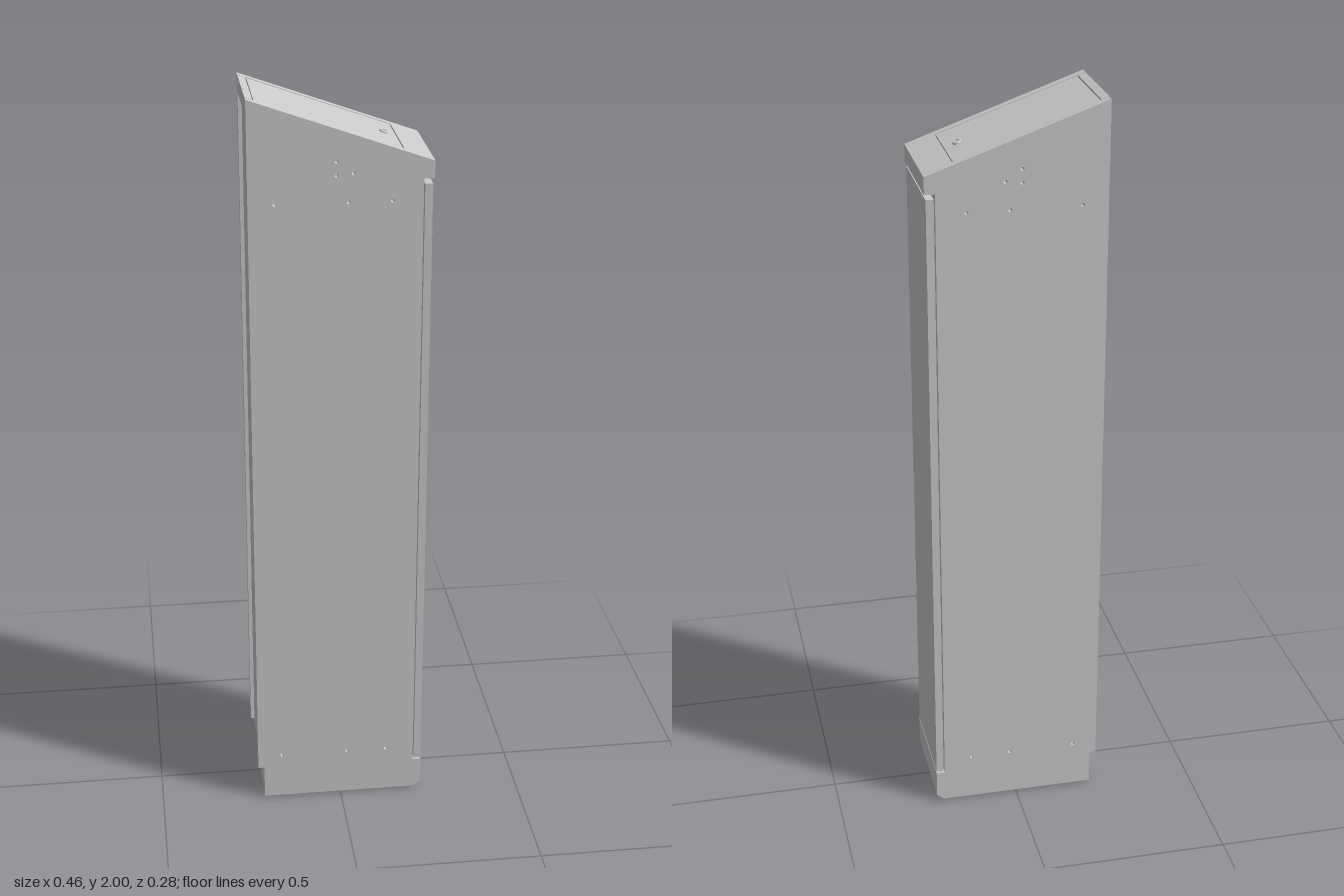
import * as THREE from 'three';

const material = new THREE.MeshStandardMaterial({ color: 0xcccccc, flatShading: true });
const smooth = new THREE.MeshStandardMaterial({ color: 0xcccccc });

// Height of the sloping top at x
const slope = (x) => 2 - ((x + 0.232) / 0.464) * 0.165;

function add(parent, name, geometry, x = 0, y = 0, z = 0, mat = material) {
  const mesh = new THREE.Mesh(geometry, mat);
  mesh.name = name;
  mesh.position.set(x, y, z);
  parent.add(mesh);
  return mesh;
}

// Box given by its limits
function block(parent, name, x0, x1, y0, y1, z0, z1) {
  return add(parent, name, new THREE.BoxGeometry(x1 - x0, y1 - y0, z1 - z0),
    (x0 + x1) / 2, (y0 + y1) / 2, (z0 + z1) / 2);
}

// Side profile in x, y extruded from z0 to z1, with round holes
function prism(parent, name, points, z0, z1, holes = []) {
  const shape = new THREE.Shape(points.map(([x, y]) => new THREE.Vector2(x, y)));
  for (const [x, y] of holes) {
    shape.holes.push(new THREE.Path().absarc(x, y, 0.005, 0, Math.PI * 2, true));
  }
  const geometry = new THREE.ExtrudeGeometry(shape, { depth: z1 - z0, bevelEnabled: false, curveSegments: 8 });
  return add(parent, name, geometry, 0, 0, z0);
}

// Strip that follows the slope between x0 and x1
const slopedStrip = (x0, x1, drop, thick) => [
  [x0, slope(x0) - drop - thick], [x1, slope(x1) - drop - thick],
  [x1, slope(x1) - drop], [x0, slope(x0) - drop],
];

export function createModel() {
  const model = new THREE.Group();
  model.name = 'cabinet';

  // Broad side walls with mounting holes
  const wall = [
    [-0.215, 0.005], [0.208, 0.005], [0.228, 0.02], [0.228, 0.095], [0.205, 0.095],
    [0.205, 1.79], [0.232, 1.79], [0.232, 1.835], [-0.232, 2], [-0.232, 0.1], [-0.215, 0.1],
  ];
  const holes = [[-0.012, 1.84], [-0.012, 1.805], [0.03, 1.81]];
  for (const x of [-0.165, 0.018, 0.128]) holes.push([x, 0.137], [x, 1.737]);
  prism(model, 'frontWall', wall, 0.118, 0.14, holes);
  prism(model, 'backWall', wall, -0.14, -0.118, holes);

  // Long door on the low side, spanning both walls
  block(model, 'door', 0.208, 0.228, 0.099, 1.777, -0.139, 0.139);
  block(model, 'doorBacking', 0.195, 0.203, 0.09, 1.8, -0.118, 0.118);

  // Recessed panel and its top rail on the high side
  block(model, 'recessedPanel', -0.222, -0.212, 0.09, 1.97, -0.118, 0.118);
  prism(model, 'topRail', [[-0.232, 1.955], [-0.213, 1.955], [-0.213, slope(-0.213)], [-0.232, 2]], -0.115, 0.115);
  const tilt = -Math.atan(0.165 / 0.464);
  for (const z of [-0.022, 0.022]) {
    add(model, 'railScrew', new THREE.CylinderGeometry(0.002, 0.002, 0.002, 10), -0.227, slope(-0.227), z).rotation.z = tilt;
  }

  // Hood lip and hinged lid on the slope
  prism(model, 'hoodLip', [[0.158, 1.79], [0.232, 1.79], [0.232, 1.835], [0.158, slope(0.158)]], -0.118, 0.118);
  prism(model, 'lid', slopedStrip(-0.21, 0.155, 0.001, 0.015), -0.115, 0.115);
  prism(model, 'lidSeat', slopedStrip(-0.213, 0.16, 0.022, 0.006), -0.118, 0.118);

  // Round lock on the lid
  const lock = new THREE.Group();
  lock.name = 'lock';
  lock.position.set(0.123, slope(0.123), 0);
  lock.rotation.z = tilt;
  const profile = [[0.0115, -0.004], [0.0115, 0.002], [0.009, 0.004], [0.007, 0.004], [0.007, 0.001], [0, 0.001]];
  add(lock, 'lockRing', new THREE.LatheGeometry(profile.map(([r, y]) => new THREE.Vector2(r, y)), 24),
    0, 0, 0, new THREE.MeshStandardMaterial({ color: 0xcccccc, side: THREE.DoubleSide, flatShading: true }));
  add(lock, 'lockInsert', new THREE.CylinderGeometry(0.0035, 0.0035, 0.003, 3), 0, 0.002, 0);
  model.add(lock);

  // Plinth ends, open underneath
  prism(model, 'plinthFront', [[0.2, 0.005], [0.208, 0.005], [0.228, 0.02], [0.228, 0.095], [0.2, 0.095]], -0.118, 0.118);
  block(model, 'plinthRear', -0.215, -0.2, 0.005, 0.1, -0.118, 0.118);
  block(model, 'floor', -0.2, 0.2, 0.055, 0.065, -0.118, 0.118);
  block(model, 'floorChannel', -0.2, 0.2, 0.03, 0.055, -0.04, 0.04);

  // Adjustable feet on corner brackets
  for (const x of [-0.165, 0.165]) {
    for (const z of [-0.085, 0.085]) {
      const foot = new THREE.Group();
      foot.name = 'foot';
      foot.position.set(x, 0, z);
      add(foot, 'footPad', new THREE.CylinderGeometry(0.017, 0.02, 0.014, 24), 0, 0.007, 0, smooth);
      add(foot, 'footStem', new THREE.CylinderGeometry(0.008, 0.008, 0.045, 16), 0, 0.035, 0, smooth);
      model.add(foot);
      block(model, 'footBracket', x - 0.035, x + 0.035, 0.03, 0.036, z - 0.033, z + 0.033);
    }
  }
  return model;
}
